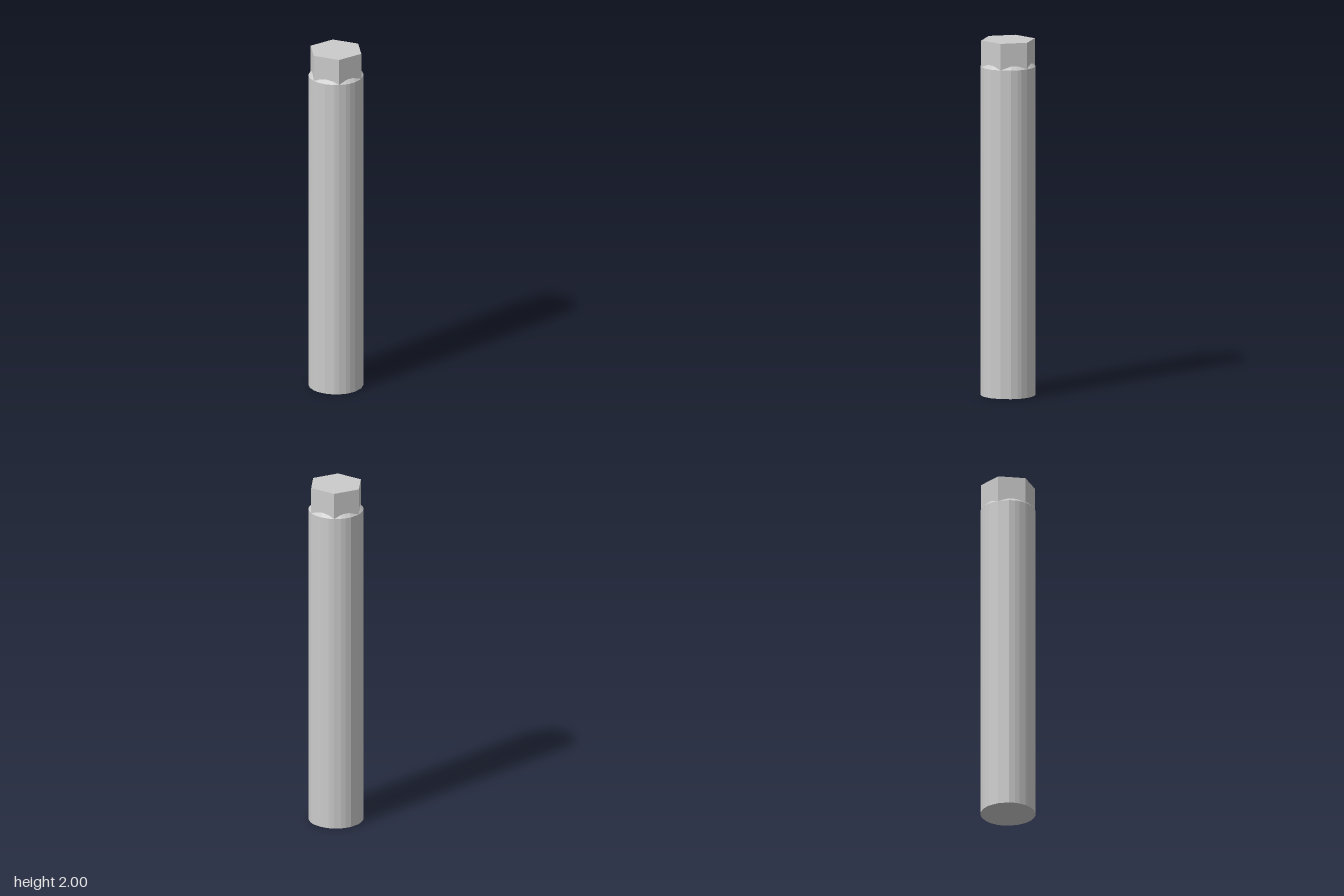
import * as THREE from 'three';

const RADIUS = 0.153;
const APOTHEM = RADIUS * Math.cos(Math.PI / 6);
const SHOULDER = 1.85;

// Facet angles of the shaft over a quarter turn, mirrored into a full ring
function facetAngles() {
  const quarter = [0, 18, 22.5, 30, 45, 54, 67.5];
  const half = [...quarter, 90, ...quarter.slice(1).reverse().map(a => 180 - a)];
  return [...half, ...half.map(a => a + 180)].map(THREE.MathUtils.degToRad);
}

export function createModel() {
  const model = new THREE.Group();
  model.name = 'hexagonalDriveBit';
  const material = new THREE.MeshStandardMaterial({ color: 0xcccccc, flatShading: true });

  // Round shaft with a chamfered shoulder, its facets unevenly spaced
  const profile = [
    [0, 0], [RADIUS, 0], [RADIUS, SHOULDER],
    [APOTHEM - 0.005, SHOULDER + RADIUS - APOTHEM + 0.005],
  ].map(([r, y]) => new THREE.Vector2(r, y));
  const angles = facetAngles();
  const lathe = new THREE.LatheGeometry(profile, angles.length);
  const position = lathe.attributes.position;
  for (let i = 0; i < position.count; i++) {
    const angle = angles[Math.floor(i / profile.length) % angles.length];
    const r = profile[i % profile.length].x;
    position.setX(i, r * Math.sin(angle));
    position.setZ(i, r * Math.cos(angle));
  }
  const shaftGeometry = lathe.toNonIndexed();
  shaftGeometry.computeVertexNormals();
  const shaft = new THREE.Mesh(shaftGeometry, material);
  shaft.name = 'shaft';
  model.add(shaft);

  // Hexagonal tip with corners pointing left and right
  const tipHeight = 2 - SHOULDER;
  const tip = new THREE.Mesh(
    new THREE.CylinderGeometry(RADIUS, RADIUS, tipHeight, 6, 1, false, Math.PI / 2), material);
  tip.name = 'hexTip';
  tip.position.y = SHOULDER + tipHeight / 2;
  model.add(tip);

  return model;
}
